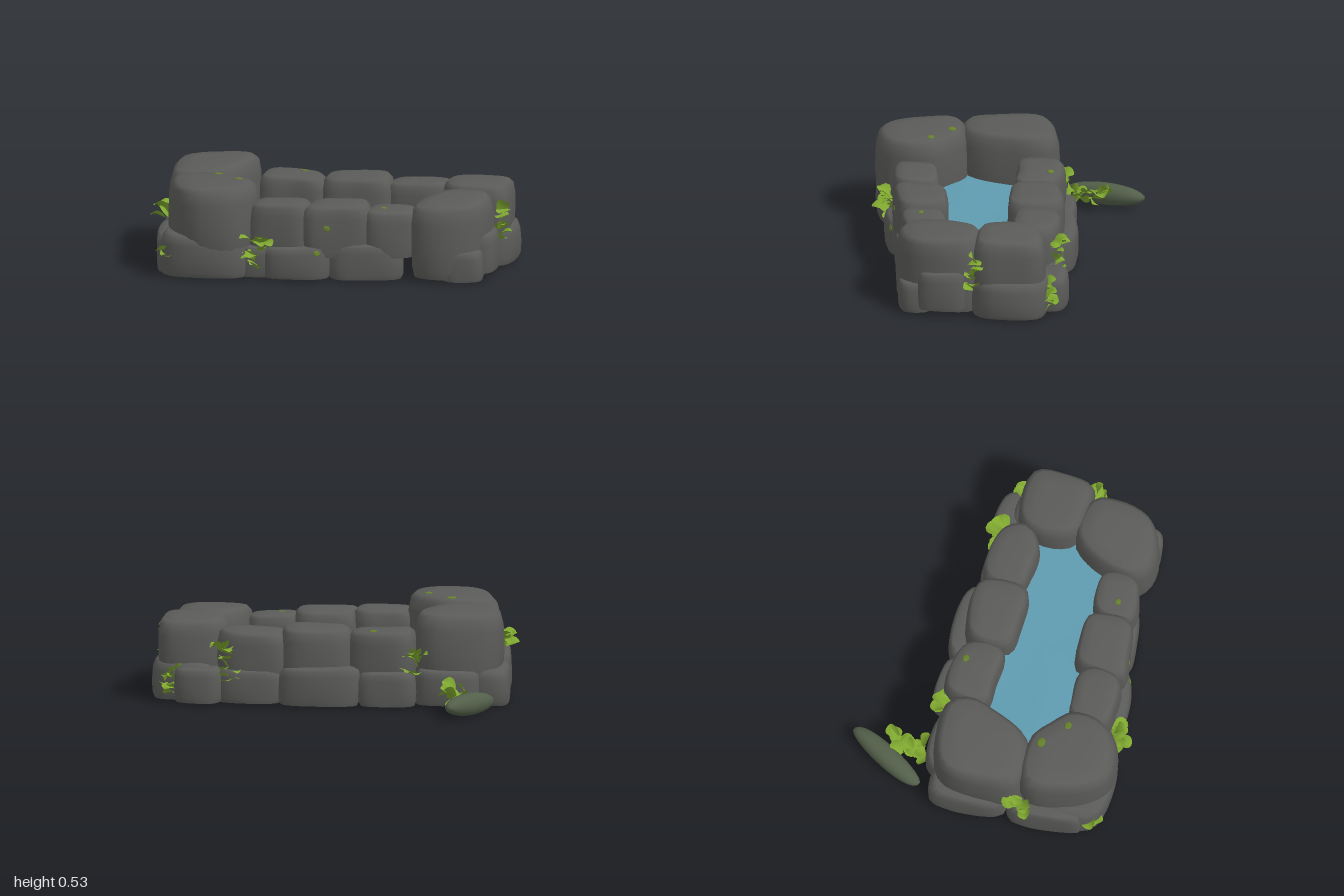
import * as THREE from 'three';

export function createModel() {
  const model = new THREE.Group();
  const mat = (name, color, side = THREE.DoubleSide) => {
    const m = new THREE.MeshStandardMaterial({ color, side });
    m.name = name;
    return m;
  };
  const stone = mat('stone grey', 0x5b5b59);
  const mossStone = mat('mossy stone', 0x535f4a);
  const waterBlue = mat('water blue', 0x5f9bb0);
  const leafGreen = mat('leaf green', 0x7fa82f);
  const mossGreen = mat('moss green', 0x66812c);

  let seed = 7;
  const rand = () => {
    seed = (seed * 16807) % 2147483647;
    return seed / 2147483647;
  };
  const spread = (a) => (rand() * 2 - 1) * a;

  const add = (parent, name, geometry, material) => {
    const mesh = new THREE.Mesh(geometry, material);
    mesh.name = name;
    parent.add(mesh);
    return mesh;
  };
  const group = (name) => {
    const g = new THREE.Group();
    g.name = name;
    model.add(g);
    return g;
  };

  // Boulder: a rounded footprint lofted through stacked rings, open underneath
  const rings = [[0, 0.93], [0.12, 0.98], [0.4, 1], [0.74, 0.985], [0.91, 0.93], [0.98, 0.82], [1, 0.5], [1, 0]];
  const SIDES = 28;
  function boulder(parent, name, y0, y1, footprint) {
    const pts = footprint.map(([x, z]) => new THREE.Vector2(x, z));
    if (THREE.ShapeUtils.area(pts) > 0) pts.reverse();
    const curve = new THREE.CatmullRomCurve3(pts.map((p) => new THREE.Vector3(p.x, 0, p.y)), true, 'centripetal');
    const outline = curve.getSpacedPoints(SIDES).slice(0, SIDES);
    const c = outline.reduce((s, p) => s.add(p), new THREE.Vector3()).divideScalar(SIDES);
    const pos = [], index = [];
    const phase = rand() * 6, tx = spread(0.05), tz = spread(0.05);
    rings.forEach(([f, s], i) => {
      outline.forEach((p, j) => {
        const a = (j / SIDES) * Math.PI * 2;
        const k = s * (1 + 0.018 * Math.sin(3 * a + phase + i * 0.8) - 0.012);
        const x = (p.x - c.x) * k, z = (p.z - c.z) * k;
        pos.push(c.x + x, y0 + (y1 - y0) * f + f * (x * tx + z * tz), c.z + z);
        if (i < rings.length - 1) {
          const q = i * SIDES + j, r = i * SIDES + ((j + 1) % SIDES);
          index.push(q, r, r + SIDES, q, r + SIDES, q + SIDES);
        }
      });
    });
    const g = new THREE.BufferGeometry();
    g.setAttribute('position', new THREE.Float32BufferAttribute(pos, 3));
    g.setIndex(index);
    g.computeVertexNormals();
    return add(parent, name, g, stone);
  }

  // Upper course: four tall corner boulders and two rows between them
  const upper = group('upperStones');
  boulder(upper, 'backRightCorner', 0.15, 0.525, [[-0.95, -0.17], [-0.84, -0.26], [-0.55, -0.29], [-0.48, -0.18],
    [-0.49, -0.04], [-0.56, 0.18], [-0.66, 0.26], [-0.88, 0.27], [-0.94, 0.1]]);
  boulder(upper, 'frontRightCorner', 0.15, 0.53, [[-0.86, 0.29], [-0.57, 0.21], [-0.44, 0.29], [-0.34, 0.38], [-0.32, 0.55],
    [-0.4, 0.68], [-0.63, 0.73], [-0.74, 0.66], [-0.83, 0.5]]);
  boulder(upper, 'frontStoneA', 0.14, 0.435, [[-0.34, 0.36], [-0.26, 0.33], [-0.08, 0.31], [-0.02, 0.38], [-0.03, 0.54], [-0.17, 0.58], [-0.34, 0.57]]);
  boulder(upper, 'frontStoneB', 0.14, 0.43, [[-0.04, 0.27], [0.1, 0.23], [0.26, 0.22], [0.31, 0.32], [0.31, 0.46], [0.14, 0.53], [-0.03, 0.55], [-0.05, 0.4]]);
  boulder(upper, 'frontStoneC', 0.14, 0.405, [[0.29, 0.25], [0.4, 0.2], [0.53, 0.2], [0.57, 0.32], [0.54, 0.41], [0.31, 0.46]]);
  boulder(upper, 'frontLeftCorner', 0.03, 0.455, [[0.53, 0.26], [0.55, 0.13], [0.65, -0.03], [0.9, -0.03], [0.95, 0.12],
    [0.92, 0.33], [0.82, 0.42], [0.65, 0.45], [0.55, 0.4]]);
  boulder(upper, 'backLeftCorner', 0.14, 0.47, [[0.64, -0.02], [0.57, -0.18], [0.6, -0.34], [0.72, -0.4], [0.92, -0.39],
    [0.97, -0.24], [0.96, -0.04], [0.8, -0.01]]);
  boulder(upper, 'backStoneA', 0.14, 0.43, [[-0.49, -0.33], [-0.4, -0.37], [-0.17, -0.35], [-0.11, -0.25], [-0.13, -0.12], [-0.3, -0.1], [-0.47, -0.1]]);
  boulder(upper, 'backStoneB', 0.14, 0.44, [[-0.14, -0.34], [0, -0.41], [0.2, -0.42], [0.26, -0.32], [0.25, -0.14], [0.05, -0.1], [-0.1, -0.11]]);
  boulder(upper, 'backStoneC', 0.14, 0.42, [[0.23, -0.4], [0.4, -0.45], [0.56, -0.42], [0.62, -0.3], [0.54, -0.19], [0.37, -0.17], [0.24, -0.19]]);

  // Lower course: [name, x, z, width, depth, turn, bottom, top]
  const lower = group('lowerStones');
  [
    ['frontRightBase', -0.61, 0.51, 0.5, 0.4, 0.22, 0.02, 0.25],
    ['frontBaseA', -0.09, 0.48, 0.4, 0.24, 0.22, 0.02, 0.2],
    ['frontBaseB', 0.28, 0.39, 0.42, 0.2, 0.24, 0.015, 0.22],
    ['frontGapBase', -0.3, 0.49, 0.24, 0.22, 0.2, 0.02, 0.2],
    ['frontLeftBase', 0.83, 0.32, 0.22, 0.18, 0.2, 0.02, 0.19],
    ['leftBulge', 0.88, 0.16, 0.2, 0.27, 0.05, 0.05, 0.27],
    ['backLeftBase', 0.81, -0.21, 0.36, 0.41, 0, 0.02, 0.24],
    ['backBaseA', 0.7, -0.4, 0.26, 0.22, 0, 0.02, 0.21],
    ['backBaseB', 0.42, -0.36, 0.36, 0.2, 0.05, 0.02, 0.21],
    ['backBaseC', 0.02, -0.37, 0.44, 0.21, 0.12, 0.02, 0.23],
    ['backBaseD', -0.36, -0.33, 0.32, 0.19, 0.1, 0.02, 0.21],
    ['backRightBase', -0.68, -0.21, 0.36, 0.24, 0.06, 0.02, 0.22],
    ['rightBaseA', -0.87, -0.02, 0.24, 0.42, 0.2, 0.01, 0.22],
    ['rightBaseB', -0.83, 0.42, 0.17, 0.42, 0.2, 0.02, 0.24],
  ].forEach(([name, x, z, w, d, turn, y0, y1]) => {
    const foot = [[-1, -0.6], [-0.7, -1], [0.7, -1], [1, -0.6], [1, 0.6], [0.7, 1], [-0.7, 1], [-1, 0.6]].map(([u, v]) => {
      const px = (u * w) / 2 * (1 + spread(0.06)), pz = (v * d) / 2 * (1 + spread(0.06));
      return [x + px * Math.cos(turn) + pz * Math.sin(turn), z - px * Math.sin(turn) + pz * Math.cos(turn)];
    });
    boulder(lower, name, y0, y1, foot);
  });

  // Water: a gently rippled sheet tucked under the stones
  const shore = [[-0.6, 0.22], [-0.5, -0.14], [-0.1, -0.16], [0.3, -0.22], [0.56, -0.26], [0.68, -0.02], [0.58, 0.25], [0.1, 0.32], [-0.34, 0.42]];
  const water = new THREE.BufferGeometry();
  const wp = [0.03, 0.245, 0.05], wi = [];
  for (const s of [0.5, 1]) shore.forEach(([x, z], i) =>
    wp.push(0.03 + (x - 0.03) * s, 0.25 + 0.012 * Math.sin(i * 2.4 + s * 3), 0.05 + (z - 0.05) * s));
  const n = shore.length;
  for (let i = 0; i < n; i++) {
    const a = 1 + i, b = 1 + ((i + 1) % n);
    wi.push(0, a, b, a, a + n, b + n, a, b + n, b);
  }
  // The shore runs against the upward winding, so flip every triangle
  for (let i = 0; i < wi.length; i += 3) [wi[i + 1], wi[i + 2]] = [wi[i + 2], wi[i + 1]];
  water.setAttribute('position', new THREE.Float32BufferAttribute(wp, 3));
  water.setIndex(wi);
  // Face the sheet upward whichever way the shore was listed
  water.computeVertexNormals();
  if (water.attributes.normal.getY(0) < 0) {
    water.setIndex(wi.slice().reverse());
    water.computeVertexNormals();
  }
  add(model, 'water', water, waterBlue);

  // Loose mossy stone lying behind the pool
  const loose = new THREE.SphereGeometry(1, 24, 16);
  const lp = loose.attributes.position;
  for (let i = 0; i < lp.count; i++) {
    const x = lp.getX(i), y = lp.getY(i), z = lp.getZ(i);
    lp.setXYZ(i, Math.sign(x) * Math.abs(x) ** 0.85 * 0.062, y * 0.062 - z * 0.012, z * 0.243 + 0.01 * Math.sin(x * 3));
  }
  loose.computeVertexNormals();
  const looseStone = add(model, 'looseStone', loose, mossStone);
  looseStone.position.set(-0.865, 0.074, -0.53);
  looseStone.rotation.y = -0.36;

  // Leaf: a pointed blade, cupped across and curled along its length
  const leaf = new THREE.PlaneGeometry(1, 1, 4, 5);
  const fp = leaf.attributes.position;
  for (let i = 0; i < fp.count; i++) {
    const t = fp.getY(i) + 0.5, u = fp.getX(i) * 2;
    const w = 0.06 + 0.38 * Math.sin(Math.PI * Math.min(1, t * 0.9 + 0.08)) ** 0.8;
    fp.setXYZ(i, u * w, Math.sin(t * 1.9) * 0.42 + u * u * w * 0.3, t * 0.85);
  }
  leaf.computeVertexNormals();

  // Leaf clusters: [name, centre, half extents, outward heading, count]
  [
    ['looseStonePlant', [-0.79, 0.08, -0.45], [0.05, 0.06, 0.1], 1.9, 16],
    ['backRightPlant', [-0.52, 0.24, -0.32], [0.025, 0.08, 0.01], Math.PI, 8],
    ['backVine', [0.55, 0.24, -0.42], [0.05, 0.13, 0.015], Math.PI, 15],
    ['backLeftPlant', [0.87, 0.11, -0.4], [0.05, 0.06, 0.02], Math.PI, 12],
    ['frontRightPlant', [-0.76, 0.11, 0.66], [0.02, 0.05, 0.02], 0, 8],
    ['frontVine', [-0.28, 0.14, 0.61], [0.04, 0.09, 0.02], 0, 13],
    ['rightPlant', [-0.89, 0.28, 0.3], [0.015, 0.06, 0.03], -Math.PI / 2, 8],
    ['leftPlant', [0.94, 0.26, -0.01], [0.01, 0.08, 0.02], Math.PI / 2, 8],
  ].forEach(([name, c, e, heading, count]) => {
    const g = group(name);
    for (let i = 0; i < count; i++) {
      const m = add(g, 'leaf', leaf, leafGreen);
      m.position.set(c[0] + spread(e[0]), c[1] + spread(e[1]), c[2] + spread(e[2]));
      m.rotation.set(spread(0.5), heading + spread(1.3), spread(0.6), 'YXZ');
      m.scale.setScalar(0.075 + rand() * 0.025);
    }
  });

  // Moss patches dropped onto the stone surfaces: [ray origin, ray direction, size]
  const moss = group('mossPatches');
  const up = new THREE.Vector3(0, 1, 0), down = [0, -1, 0], back = [0, 0, -1];
  model.updateMatrixWorld(true);
  [
    [[-0.6, 2, 0.3], down, 0.03], [[-0.45, 2, 0.4], down, 0.025], [[0.38, 2, 0.35], down, 0.02],
    [[-0.27, 2, -0.3], down, 0.024], [[0.1, 0.31, 2], back, 0.02], [[0.05, 0.17, 2], back, 0.02],
  ].forEach(([o, d, r]) => {
    const ray = new THREE.Raycaster(new THREE.Vector3(...o), new THREE.Vector3(...d));
    const hit = ray.intersectObjects([upper, lower], true)[0];
    if (!hit) return;
    const patch = add(moss, 'mossPatch', new THREE.SphereGeometry(1, 9, 6), mossGreen);
    patch.scale.set(r, 0.0045, r * 0.8);
    patch.position.copy(hit.point);
    patch.quaternion.setFromUnitVectors(up, hit.face.normal);
  });

  return model;
}
